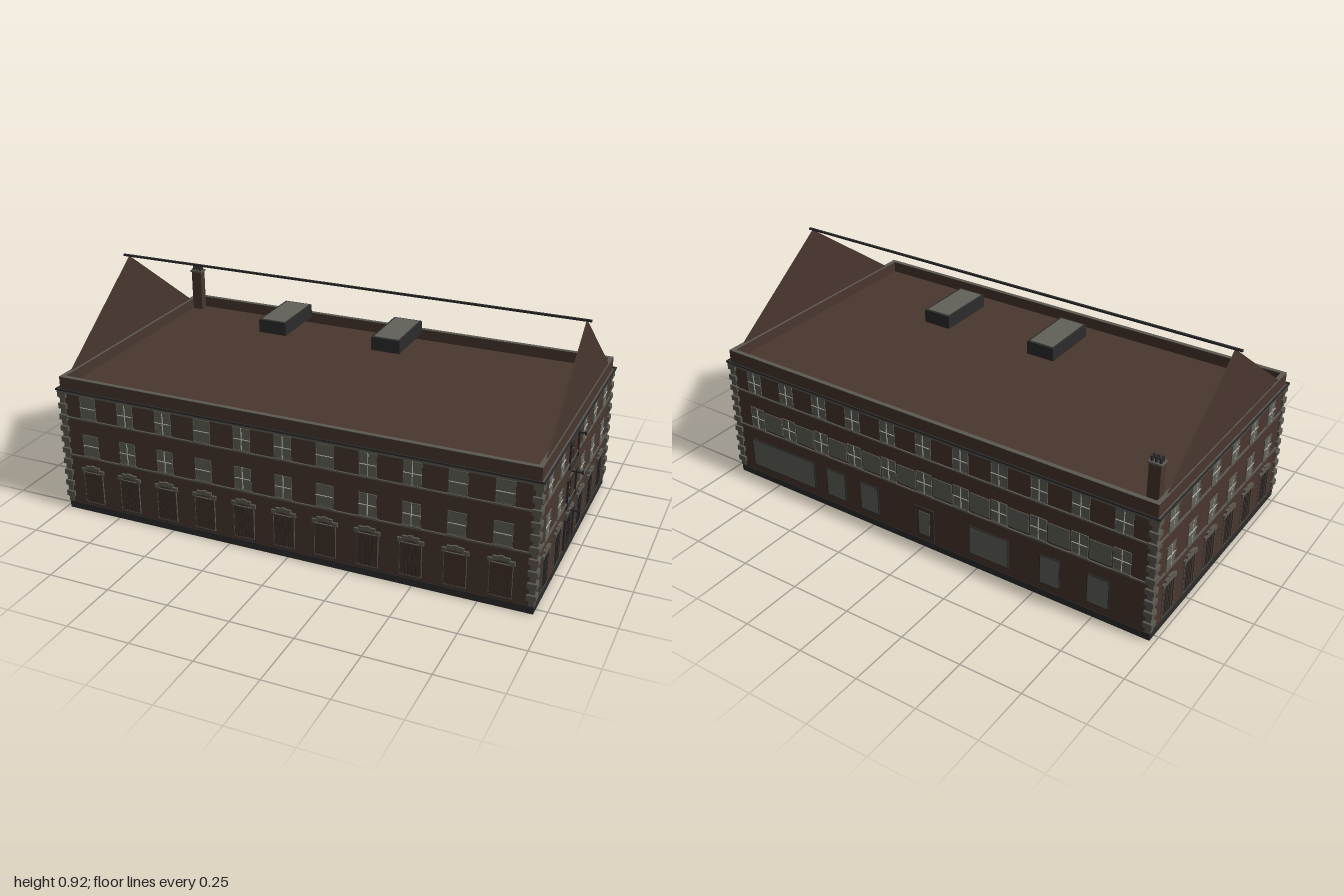
import * as THREE from 'three';

const mat = (name, color) => {
  const m = new THREE.MeshStandardMaterial({ color });
  m.name = name;
  return m;
};
const brick = mat('brick', 0x49372e);
const timber = mat('timber', 0x42322a);
const stone = mat('stone', 0x5b5951);
const glass = mat('glass', 0x62625a);
const paint = mat('pale paint', 0xb4b4aa);
const dark = mat('dark iron', 0x2c2c2d);

const HW = 0.9675, HD = 0.535; // half width and half depth of the walls

function box(parent, name, m, w, h, d, x, y, z) {
  const mesh = new THREE.Mesh(new THREE.BoxGeometry(w, h, d), m);
  mesh.position.set(x, y, z);
  mesh.name = name;
  parent.add(mesh);
  return mesh;
}

// Plate standing on the wall plane z = 0, given by its centre, base and top
const plate = (g, name, m, u, w, y0, y1, d) =>
  box(g, name, m, w, y1 - y0, d, u, (y0 + y1) / 2, d / 2);

// Hollow rectangular border on the wall plane
function border(g, name, m, u, w, y0, y1, t, d) {
  for (const s of [-1, 1]) plate(g, name, m, u + s * (w - t) / 2, t, y0, y1, d);
  plate(g, name, m, u, w, y0, y0 + t, d);
  plate(g, name, m, u, w, y1 - t, y1, d);
}

function sashWindow(g, u, y, plain) {
  const w = 0.07, h = 0.093;
  plate(g, 'windowGlass', glass, u, w, y, y + h, 0.002);
  border(g, 'windowFrame', stone, u, w, y, y + h, 0.003, 0.004);
  plate(g, 'windowRail', paint, u, w, y + h / 2 - 0.0012, y + h / 2 + 0.0012, 0.005);
  if (!plain) plate(g, 'windowMullion', paint, u, 0.003, y, y + h, 0.005);
  plate(g, 'windowSill', stone, u, w + 0.006, y - 0.004, y, 0.008);
}

// Segmental arch with a keystone
const archShape = new THREE.Shape([
  [-0.051, 0.18], [-0.051, 0.197], [-0.032, 0.197], [-0.032, 0.208], [-0.009, 0.208],
  [-0.009, 0.212], [0.009, 0.212], [0.009, 0.208], [0.032, 0.208], [0.032, 0.197],
  [0.051, 0.197], [0.051, 0.18], [0.038, 0.18], [0.026, 0.19], [0, 0.194],
  [-0.026, 0.19], [-0.038, 0.18]].map(p => new THREE.Vector2(...p)));
const archGeo = new THREE.ExtrudeGeometry(archShape, { depth: 0.008, bevelEnabled: false });

function archedDoor(g, u, plain) {
  const arch = new THREE.Mesh(archGeo, stone);
  arch.name = 'doorArch';
  arch.position.x = u;
  g.add(arch);
  plate(g, 'doorPanel', timber, u, 0.08, 0.046, 0.178, 0.002);
  border(g, 'doorFrame', stone, u, 0.087, 0.044, 0.18, 0.0025, 0.005);
  border(g, 'doorReveal', dark, u, 0.082, 0.046, 0.178, 0.002, 0.004);
  if (!plain) {
    for (const s of [-0.02, -0.007, 0.007, 0.02])
      plate(g, 'doorSlit', dark, u + s, 0.003, 0.048, 0.175, 0.004);
  }
}

// Loading door with its hoist beam
function loadingDoor(g, u, y0, y1, beamY) {
  border(g, 'loadingDoorFrame', dark, u, 0.127, y0, y1, 0.003, 0.008);
  if (y0 > 0.1) plate(g, 'loadingDoorLeaf', timber, u + 0.002, 0.058, y0 + 0.033, y1, 0.007);
  box(g, 'hoistBeam', dark, 0.006, 0.006, 0.04, u, beamY, 0.02);
  box(g, 'hoistPulley', dark, 0.01, 0.014, 0.008, u, beamY, 0.041);
}

// One side of the building: local x runs along the wall, local z points outward
function facade(root, name, angle, dist, half) {
  const g = new THREE.Group();
  g.name = name;
  g.rotation.y = angle;
  g.position.set(Math.sin(angle) * dist, 0, Math.cos(angle) * dist);
  root.add(g);
  for (const y of [0.245, 0.41])
    plate(g, 'stringCourse', stone, 0, 2 * half, y - 0.003, y + 0.003, 0.006);
  return g;
}
const columns = (n, step) => Array.from({ length: n }, (_, i) => (i - (n - 1) / 2) * step);

export function createModel() {
  const model = new THREE.Group();
  model.name = 'warehouse';
  const root = new THREE.Group();
  root.name = 'building';
  root.position.x = -0.0125;
  model.add(root);

  // Body, plinth and cornice
  box(root, 'walls', brick, 2 * HW, 0.5, 2 * HD, 0, 0.28, 0);
  box(root, 'plinth', dark, 2 * HW + 0.004, 0.028, 2 * HD + 0.004, 0, 0.016, 0);
  box(root, 'floorSlab', stone, 2 * HW, 0.002, 2 * HD, 0, 0.001, 0);
  box(root, 'cornice', stone, 2 * HW + 0.022, 0.012, 2 * HD + 0.02, 0, 0.519, 0);
  for (const s of [-1, 1]) {
    box(root, 'gutter', dark, 2 * HW + 0.029, 0.007, 0.006, 0, 0.527, s * 0.545);
    box(root, 'gutter', dark, 0.006, 0.007, 2 * HD + 0.026, s * 0.979, 0.527, 0);
  }
  box(root, 'roofDeck', brick, 2 * HW, 0.006, 2 * HD, 0, 0.528, 0);

  // Parapet with stone coping
  for (const s of [-1, 1]) {
    box(root, 'parapet', brick, 2 * HW, 0.046, 0.018, 0, 0.553, s * (HD - 0.009));
    box(root, 'parapet', brick, 0.018, 0.046, 2 * HD - 0.036, s * (HW - 0.009), 0.553, 0);
    box(root, 'coping', stone, 2 * HW, 0.002, 0.018, 0, 0.577, s * (HD - 0.009));
    box(root, 'coping', stone, 0.018, 0.002, 2 * HD - 0.036, s * (HW - 0.009), 0.577, 0);
  }

  // End gables and ridge rail
  const tri = new THREE.Shape([new THREE.Vector2(-0.525, 0.531),
    new THREE.Vector2(0.525, 0.531), new THREE.Vector2(0, 0.913)]);
  const gableGeo = new THREE.ExtrudeGeometry(tri, { depth: 0.006, bevelEnabled: false });
  for (const s of [-1, 1]) {
    const gable = new THREE.Mesh(gableGeo, brick);
    gable.name = 'gable';
    gable.rotation.y = s * Math.PI / 2;
    gable.position.x = s * (HW - 0.01);
    root.add(gable);
  }
  box(root, 'ridge', dark, 1.965, 0.008, 0.009, -0.005, 0.916, 0);

  // Skylights
  for (const x of [-0.2425, 0.2325]) {
    box(root, 'skylightBox', dark, 0.115, 0.052, 0.24, x, 0.747, 0);
    box(root, 'skylightGlass', glass, 0.098, 0.004, 0.222, x, 0.773, 0);
  }

  // Chimney
  box(root, 'chimneyStack', brick, 0.046, 0.176, 0.034, -0.928, 0.618, -0.49);
  box(root, 'chimneyCap', stone, 0.054, 0.008, 0.042, -0.928, 0.709, -0.49);
  for (const x of [-0.016, 0, 0.016]) for (const z of [-0.008, 0.008]) {
    const pot = new THREE.Mesh(new THREE.CylinderGeometry(0.005, 0.006, 0.018, 10), dark);
    pot.name = 'chimneyPot';
    pot.position.set(-0.928 + x, 0.722, -0.49 + z);
    root.add(pot);
  }

  // Corner quoins, long and short by turns
  for (const sx of [-1, 1]) for (const sz of [-1, 1]) for (let i = 0; i < 20; i++) {
    const w = i % 2 ? 0.036 : 0.022, out = i % 2 ? 0.01 : 0.004;
    box(root, 'quoin', stone, w, 0.022, w, sx * (HW + out - w / 2), 0.044 + i * 0.0242,
      sz * (HD + out - w / 2));
  }

  // Front
  const front = facade(root, 'frontFacade', 0, HD, HW);
  columns(11, 0.169).forEach((u, i) => {
    const plain = i % 3 === 0 || i === 10;
    sashWindow(front, u, 0.252, plain);
    sashWindow(front, u, 0.415, plain);
    archedDoor(front, u, plain);
  });

  // Ends, with the loading doors on the left one
  for (const s of [-1, 1]) {
    const end = facade(root, s > 0 ? 'leftFacade' : 'rightFacade', s * Math.PI / 2, HW, HD);
    columns(6, 0.1655).forEach(u => {
      sashWindow(end, u, 0.252, false);
      sashWindow(end, u, 0.415, false);
      archedDoor(end, u, false);
    });
    if (s > 0) {
      loadingDoor(end, -0.083, 0.046, 0.175, 0.19);
      loadingDoor(end, -0.083, 0.222, 0.34, 0.353);
      loadingDoor(end, -0.083, 0.385, 0.502, 0.514);
    }
  }

  // Back: glazed strip on the first floor and shop windows below
  const back = facade(root, 'backFacade', Math.PI, HD, HW);
  columns(11, 0.169).forEach((u, i) => {
    sashWindow(back, u, 0.252, false);
    sashWindow(back, u, 0.415, false);
    if (i < 10) plate(back, 'stripGlass', glass, u + 0.0845, 0.088, 0.257, 0.338, 0.003);
  });
  const shop = [[0.71, 0.33], [0.43, 0.09], [0.26, 0.085], [-0.305, 0.17], [-0.57, 0.08], [-0.77, 0.085]];
  for (const [x, w] of shop) {
    plate(back, 'shopGlass', glass, -x - 0.0125, w, 0.065, 0.185, 0.003);
    border(back, 'shopFrame', dark, -x - 0.0125, w + 0.006, 0.062, 0.188, 0.003, 0.005);
  }
  plate(back, 'backDoor', timber, -0.0045, 0.085, 0.032, 0.18, 0.003);
  plate(back, 'backDoorGlass', glass, -0.0045, 0.05, 0.06, 0.165, 0.005);
  border(back, 'backDoorFrame', dark, -0.0045, 0.09, 0.032, 0.183, 0.003, 0.006);
  return model;
}
